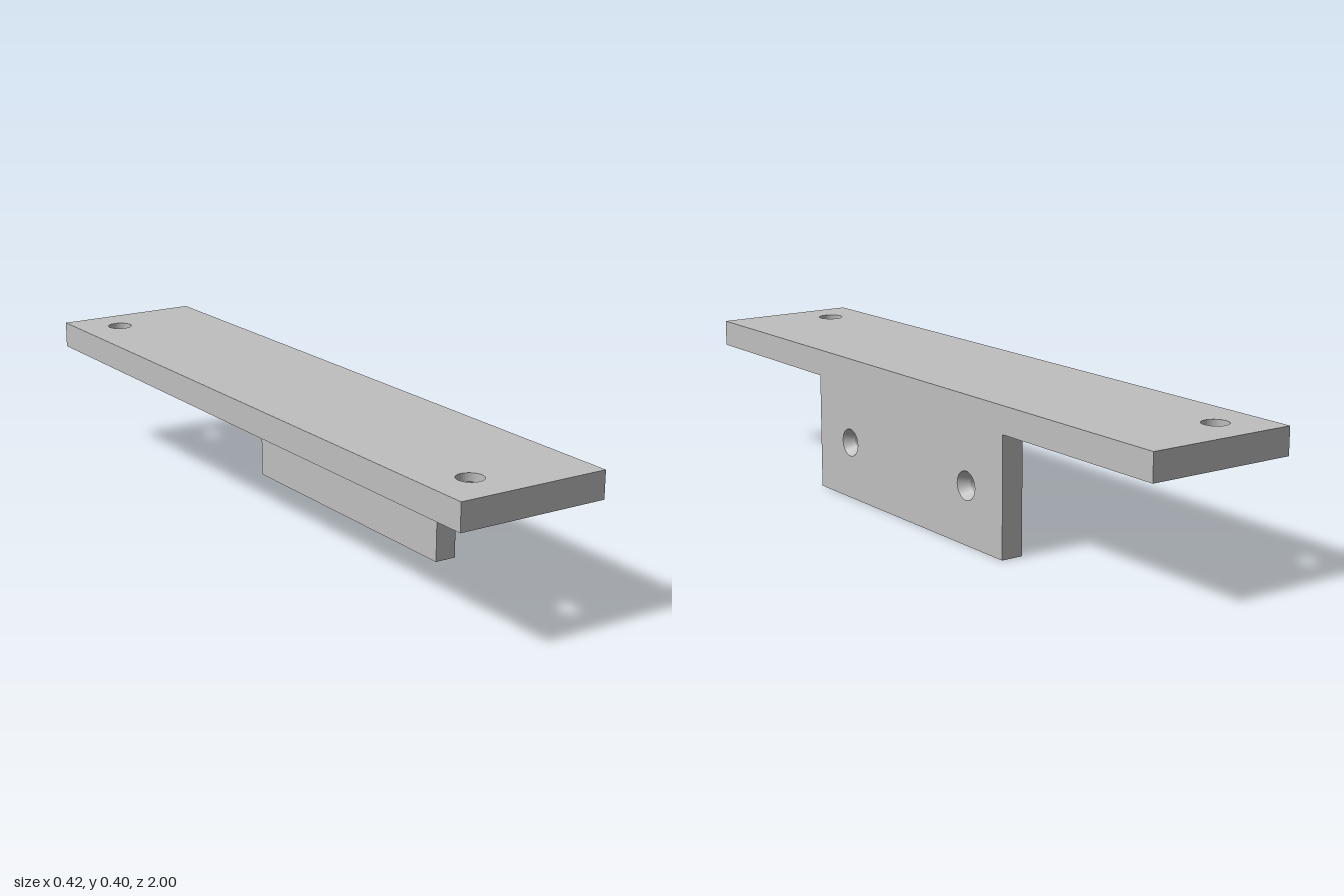
import * as THREE from 'three';

export function createModel() {
  const grey = new THREE.MeshStandardMaterial({ color: 0xbfbfbf, side: THREE.DoubleSide });
  grey.name = 'bracket grey';
  const group = new THREE.Group();
  group.name = 'mountingBracket';

  const add = (geometry, name) => {
    const mesh = new THREE.Mesh(geometry, grey);
    mesh.name = name;
    group.add(mesh);
  };

  // Rectangle outline centred on (cx, cy)
  const rect = (Type, cx, cy, w, h) => {
    const s = new Type();
    s.moveTo(cx - w / 2, cy - h / 2);
    s.lineTo(cx + w / 2, cy - h / 2);
    s.lineTo(cx + w / 2, cy + h / 2);
    s.lineTo(cx - w / 2, cy + h / 2);
    s.closePath();
    return s;
  };
  const circle = (cx, cy, r) => new THREE.Path().absarc(cx, cy, r, 0, Math.PI * 2, true);
  const extrude = (shape, depth) =>
    new THREE.ExtrudeGeometry(shape, { depth, bevelEnabled: false, curveSegments: 20 });

  // Long top plate: round holes above, square nut pockets below
  const bottom = 0.326, ceiling = 0.378, top = 0.4;
  const holeX = -0.09, holeZ = 0.875;
  const upper = rect(THREE.Shape, 0, 0, 0.424, 2);
  const lower = rect(THREE.Shape, 0, 0, 0.424, 2);
  for (const s of [-1, 1]) {
    upper.holes.push(circle(holeX, s * holeZ, 0.035));
    lower.holes.push(rect(THREE.Path, holeX, s * holeZ, 0.134, 0.134));
  }
  add(extrude(upper, top - ceiling).rotateX(-Math.PI / 2).translate(0, ceiling, 0), 'plateWithRoundHoles');
  add(extrude(lower, ceiling - bottom).rotateX(-Math.PI / 2).translate(0, bottom, 0), 'plateWithNutPockets');

  // Hanging flange: narrow bores inside, countersunk on the outer face
  const inner = 0.15, step = 0.182, outer = 0.212;
  const screwY = 0.16, screwZ = 0.28, bore = 0.023, sink = 0.039;
  for (const [name, x0, x1, r] of [['flangeInner', inner, step, bore], ['flangeOuter', step, outer, sink]]) {
    const shape = rect(THREE.Shape, 0, bottom / 2, 0.874, bottom);
    for (const s of [-1, 1]) shape.holes.push(circle(s * screwZ, screwY, r));
    add(extrude(shape, x1 - x0).rotateY(Math.PI / 2).translate(x0, 0, 0), name);
  }
  for (const s of [-1, 1]) {
    const cone = new THREE.CylinderGeometry(sink, bore, outer - step, 40, 1, true);
    add(cone.rotateZ(-Math.PI / 2).translate((outer + step) / 2, screwY, s * screwZ), 'countersink');
  }
  return group;
}
